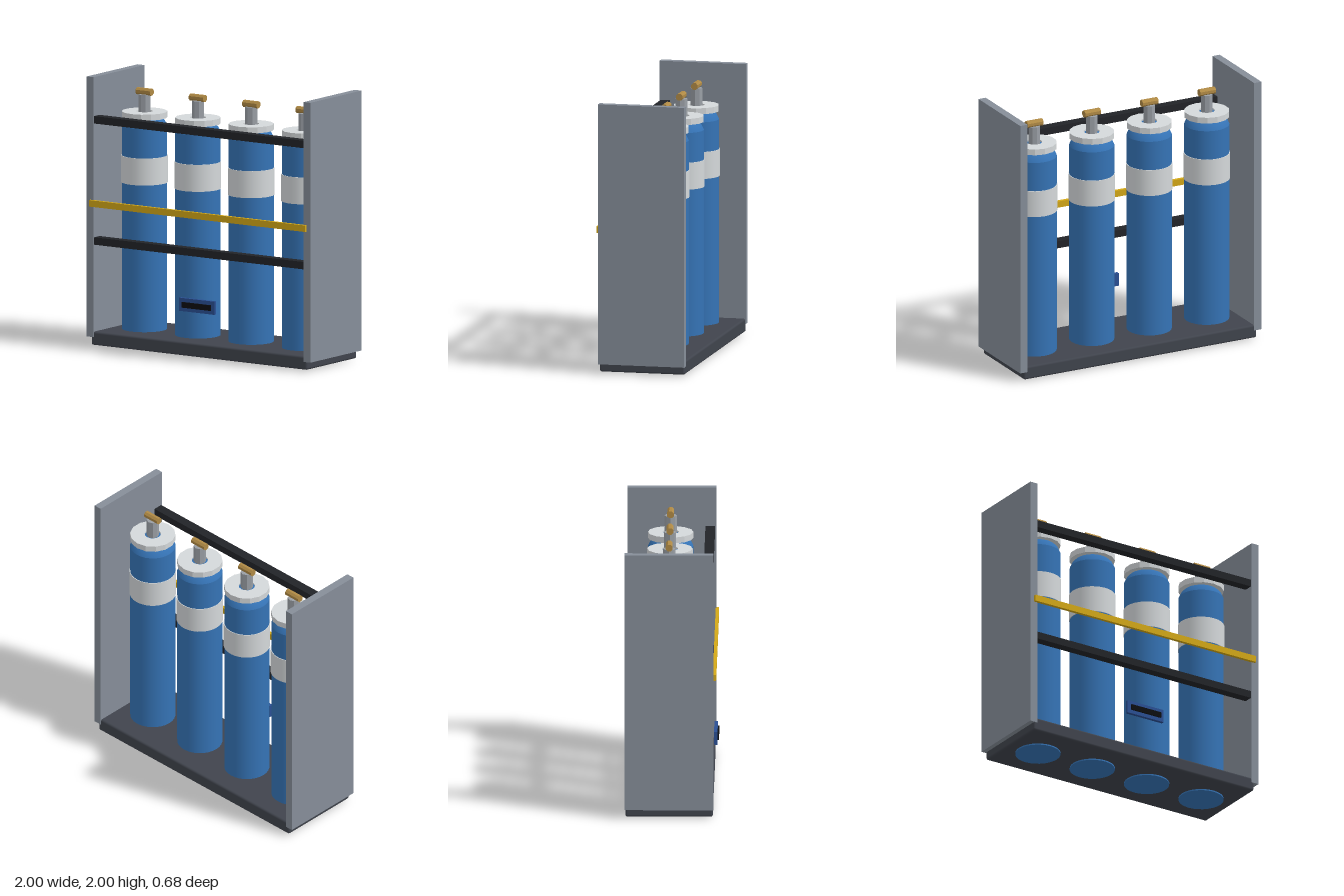
import * as THREE from 'three';
import { RoundedBoxGeometry } from 'three/addons/geometries/RoundedBoxGeometry.js';

const mat = (color, extra = {}) => {
  const m = new THREE.MeshStandardMaterial(extra);
  m.color.set(color);
  return m;
};

export function createModel() {
  const rack = new THREE.Group();
  rack.name = 'gasCylinderRack';

  const panelGrey = mat(0x868e99);
  const baseGrey = mat(0x40444d);
  const black = mat(0x222428);
  const blue = mat(0x3573b5);
  const white = mat(0xd4d8da);
  const whiteFlat = mat(0xd4d8da, { flatShading: true });
  const steel = mat(0x9a9fa5, { flatShading: true });
  const brass = mat(0xb08a45, { flatShading: true });
  const yellow = mat(0xd4a817);
  const badgeBlue = mat(0x2a4f94);
  const displayBlack = mat(0x0c0d10);

  const add = (parent, name, geometry, material, x, y, z) => {
    const mesh = new THREE.Mesh(geometry, material);
    mesh.name = name;
    mesh.position.set(x, y, z);
    parent.add(mesh);
    return mesh;
  };
  // Box given by its lower and upper corners
  const box = (name, material, a, b) =>
    add(rack, name, new THREE.BoxGeometry(b[0] - a[0], b[1] - a[1], b[2] - a[2]), material,
      (a[0] + b[0]) / 2, (a[1] + b[1]) / 2, (a[2] + b[2]) / 2);

  // Base tray with softened edges, and the two side panels
  add(rack, 'base', new RoundedBoxGeometry(1.93, 0.1, 0.64, 2, 0.015), baseGrey, 0, 0.06, -0.015);
  box('leftPanel', panelGrey, [0.94, 0.07, -0.34], [1, 2, 0.31]);
  box('rightPanel', panelGrey, [-1, 0.07, -0.34], [-0.94, 2, 0.31]);

  // Restraining bars across the front
  box('lowerBar', black, [-0.94, 0.755, 0.23], [0.94, 0.81, 0.3]);
  box('upperBar', black, [-0.94, 1.655, 0.23], [0.94, 1.71, 0.3]);
  box('safetyBar', yellow, [-0.967, 1.04, 0.305], [0.967, 1.088, 0.33]);

  // Name plate with dark inset
  box('plate', badgeBlue, [-0.16, 0.345, 0.305], [0.155, 0.443, 0.33]);
  box('plateInset', displayBlack, [-0.13, 0.373, 0.33], [0.127, 0.414, 0.341]);

  // Bottle outline: straight wall, then a domed shoulder
  const wall = [[0, 0], [0.166, 0], [0.166, 0], [0.166, 1.62], [0.166, 1.62]];
  const dome = [0.25, 0.5, 0.75, 1].map((t) => {
    const a = t * Math.PI / 2;
    return [0.16 * Math.cos(a), 1.62 + 0.1 * Math.sin(a)];
  });
  const bottleGeo = new THREE.LatheGeometry(
    [...wall, ...dome].map(([r, y]) => new THREE.Vector2(Math.max(r, 0), y)), 28);

  // Collar ring with an open centre
  const collarGeo = new THREE.LatheGeometry(
    [[0.06, 1.68], [0.167, 1.68], [0.167, 1.725], [0.06, 1.725], [0.06, 1.68]]
      .map(([r, y]) => new THREE.Vector2(r, y)), 14);
  const bandGeo = new THREE.CylinderGeometry(0.171, 0.171, 0.2, 28);
  const stemGeo = new THREE.CylinderGeometry(0.045, 0.045, 0.15, 8);
  const handleGeo = new THREE.CylinderGeometry(0.027, 0.027, 0.13, 8).rotateY(Math.PI / 8).rotateZ(Math.PI / 2);

  for (let i = 0; i < 4; i++) {
    const bottle = new THREE.Group();
    bottle.name = `bottle${i + 1}`;
    bottle.position.set((i - 1.5) * 0.477, 0, -0.022);
    add(bottle, 'body', bottleGeo, blue, 0, 0, 0);
    add(bottle, 'labelBand', bandGeo, white, 0, 1.3, 0);
    add(bottle, 'collar', collarGeo, whiteFlat, 0, 0, 0);
    add(bottle, 'valveStem', stemGeo, steel, 0, 1.775, 0);
    add(bottle, 'valveHandle', handleGeo, brass, 0, 1.87, 0);
    rack.add(bottle);
  }
  return rack;
}
